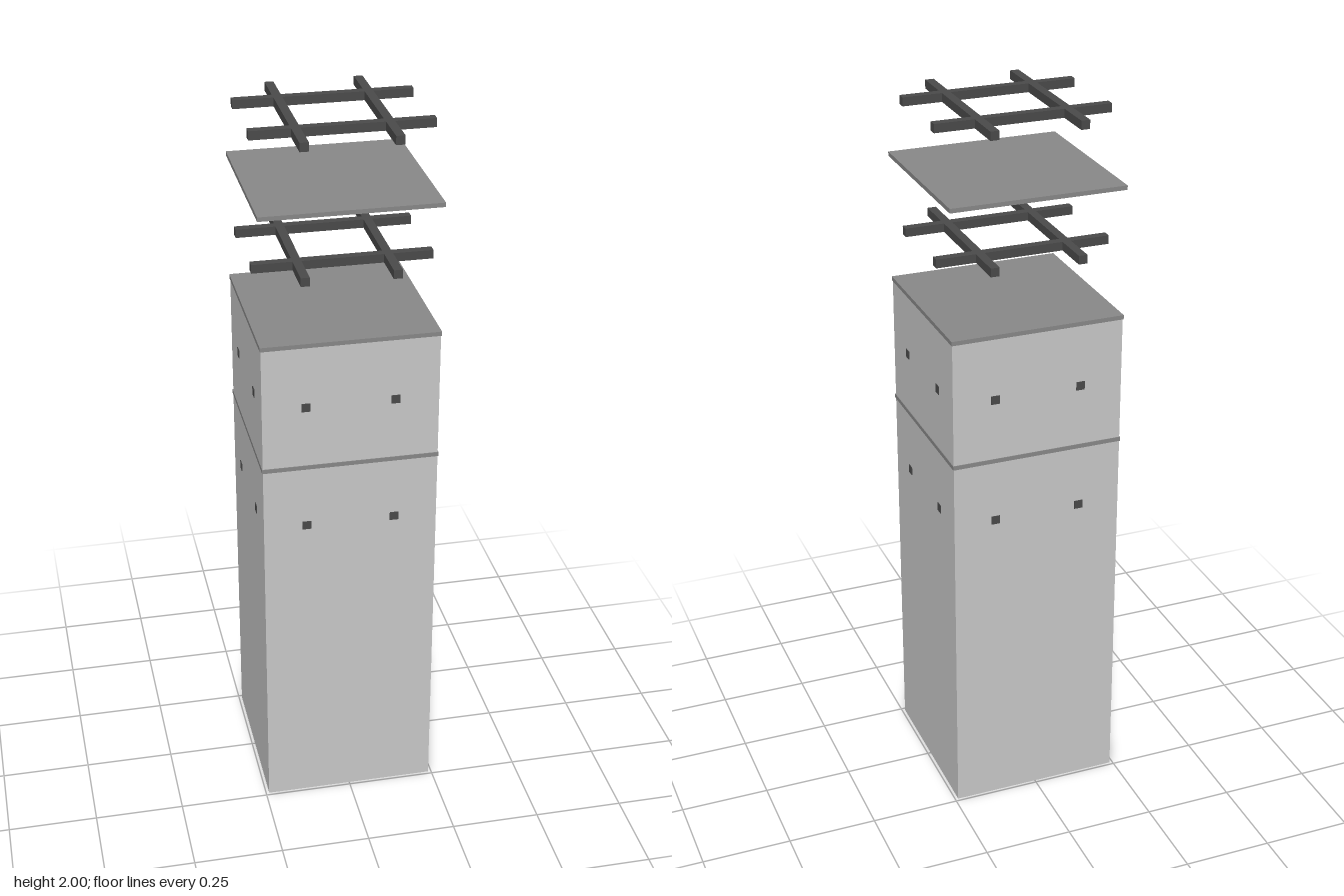
import * as THREE from 'three';

export function createModel() {
  const model = new THREE.Group();
  const wall = new THREE.MeshStandardMaterial({ name: 'light grey', color: 0xc8c8c8 });
  const plate = new THREE.MeshStandardMaterial({ name: 'mid grey', color: 0x888888 });
  const steel = new THREE.MeshStandardMaterial({ name: 'dark grey', color: 0x4a4a4a });

  const WIDTH = 0.486, BEAM = 0.024, SLAB = 0.012;
  const TOP = 1.988, STEP = 0.1805; // centre of top beams, spacing between layers

  function box(name, w, h, d, x, y, z, material, parent = model) {
    const mesh = new THREE.Mesh(new THREE.BoxGeometry(w, h, d), material);
    mesh.name = name;
    mesh.position.set(x, y, z);
    parent.add(mesh);
  }

  // Solid tower body, up to the underside of the third slab
  const bodyHeight = TOP - 3 * STEP - SLAB / 2;
  box('towerBody', WIDTH - 0.004, bodyHeight, WIDTH - 0.004, 0, bodyHeight / 2, 0, wall);

  // Alternating layers from the top down: crossed beams, then a floor slab
  for (let i = 0; i < 7; i++) {
    const y = TOP - i * STEP;
    if (i % 2) {
      box('floorSlab', WIDTH, SLAB, WIDTH, 0, y, 0, plate);
      continue;
    }
    const grid = new THREE.Group();
    grid.name = 'beamGrid';
    grid.position.y = y;
    for (const s of [-1, 1]) {
      box('crossBeam', WIDTH, BEAM, BEAM, 0, 0, s * 0.122, steel, grid);
      box('longBeam', BEAM, BEAM, WIDTH, s * 0.122, 0, 0, steel, grid);
    }
    model.add(grid);
  }
  return model;
}
